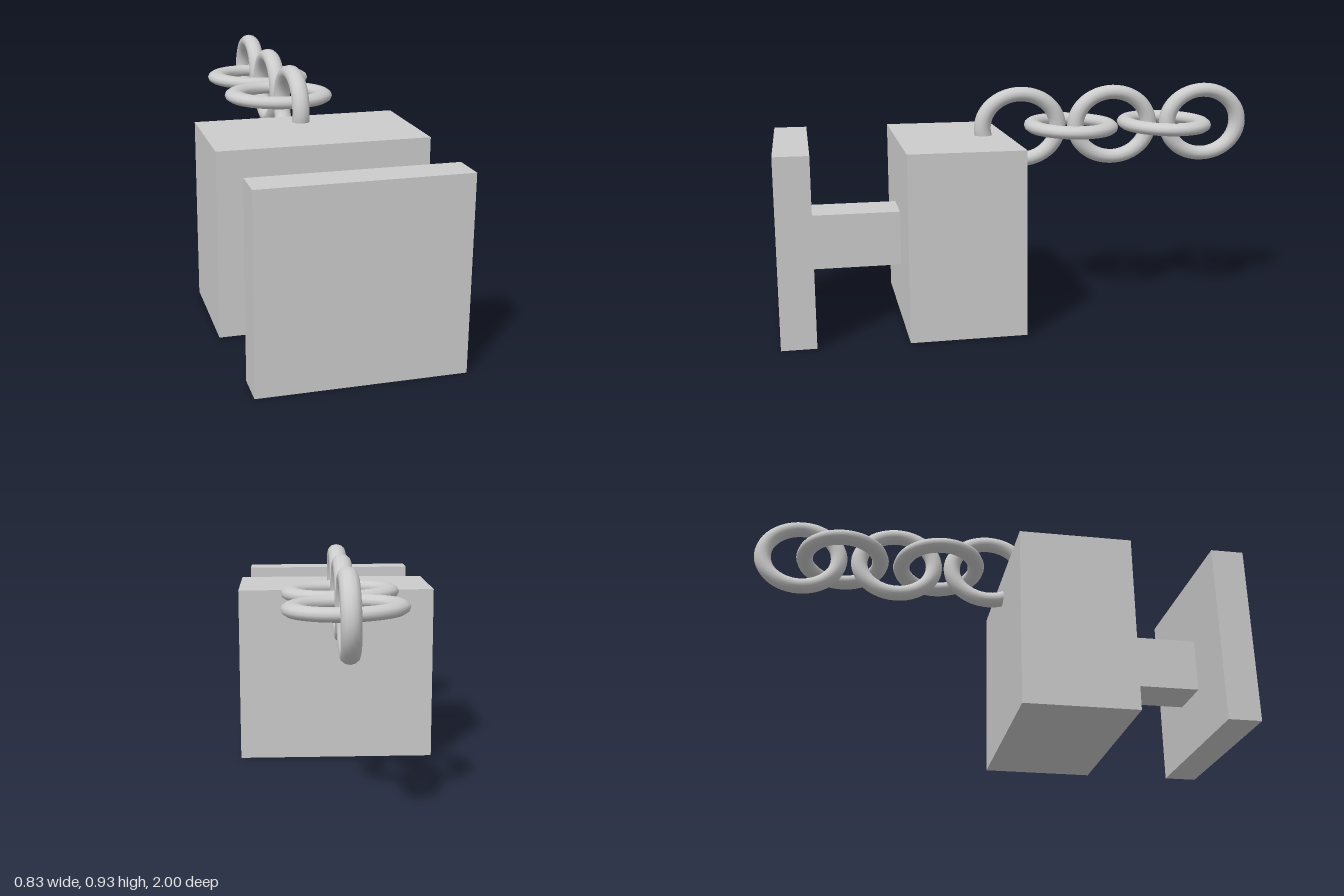
import * as THREE from 'three';

export function createModel() {
  const model = new THREE.Group();
  const grey = new THREE.MeshStandardMaterial({ color: 0xcccccc });
  grey.name = 'grey';

  const add = (name, geometry, x, y, z) => {
    const mesh = new THREE.Mesh(geometry, grey);
    mesh.name = name;
    mesh.position.set(x, y, z);
    model.add(mesh);
    return mesh;
  };

  // Front plate, connecting bar and rear block
  add('frontPlate', new THREE.BoxGeometry(0.77, 0.74, 0.135), 0, 0.37, 0.9325);
  add('connectingBar', new THREE.BoxGeometry(0.206, 0.22, 0.37), 0, 0.343, 0.69);
  add('rearBlock', new THREE.BoxGeometry(0.826, 0.732, 0.457), 0, 0.371, 0.285);

  // Stretched ring, standing in the yz plane or lying in the xz plane
  const upright = new THREE.TorusGeometry(1, 0.22, 12, 48)
    .rotateY(Math.PI / 2).scale(0.164, 0.137, 0.16);
  const flat = new THREE.TorusGeometry(1, 0.22, 12, 48)
    .rotateX(Math.PI / 2).scale(0.192, 0.123, 0.16);

  // Chain of alternating links, leaning slightly to one side
  [-0.003, -0.22, -0.4, -0.63, -0.805].forEach((z, i) => {
    const standing = i % 2 === 0;
    const link = add(standing ? 'uprightLink' : 'flatLink', standing ? upright : flat, 0, 0.767, z);
    link.rotation.z = -0.02;
  });

  return model;
}
